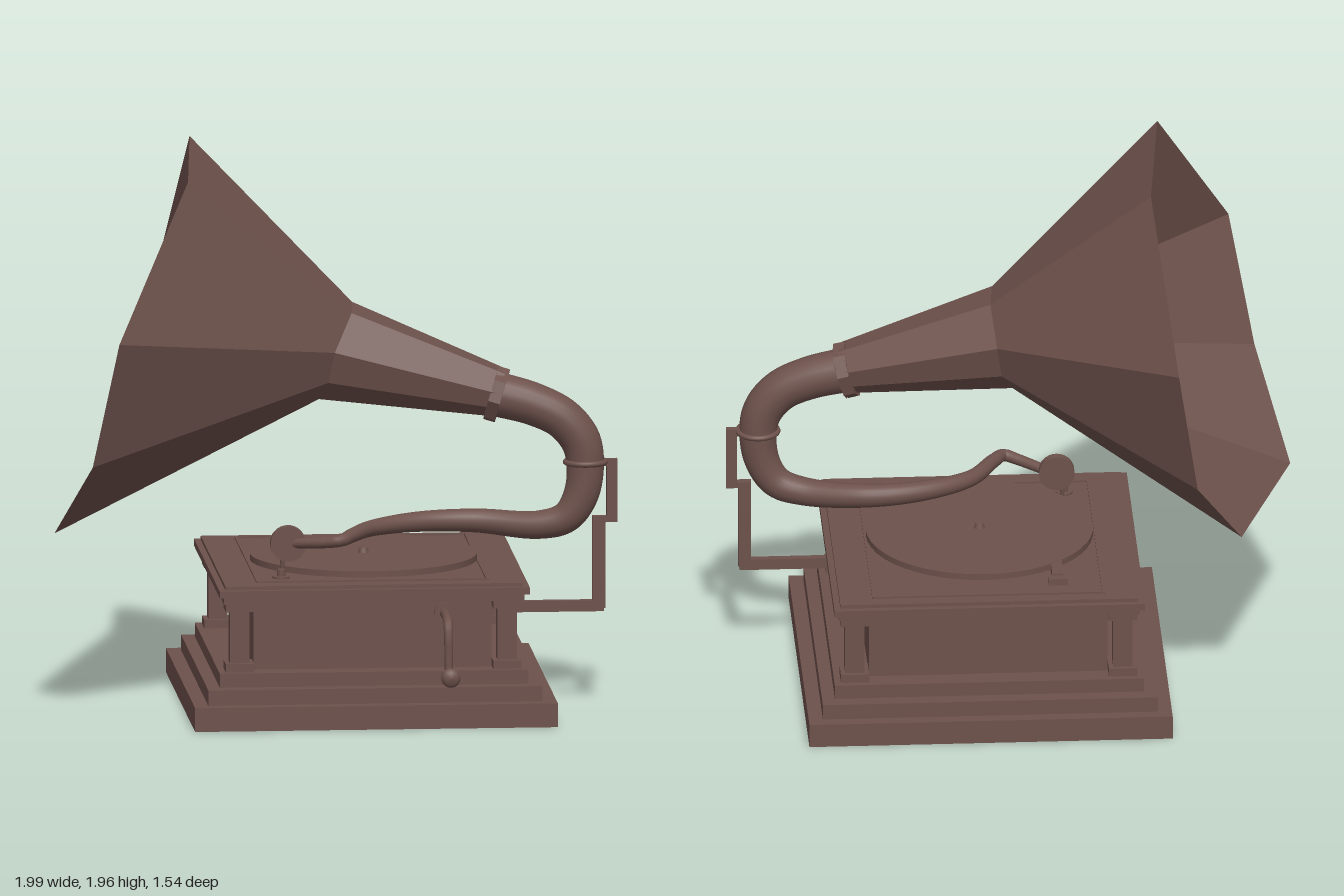
import * as THREE from 'three';

const V = (x, y, z) => new THREE.Vector3(x, y, z);
const wood = new THREE.MeshStandardMaterial({ color: 0x6d514b });
const sheet = new THREE.MeshStandardMaterial({ color: 0x6d514b, flatShading: true, side: THREE.DoubleSide });

// Centre of the cabinet
const CX = 0.105, CZ = -0.005;

export function createModel() {
  const model = new THREE.Group();

  const add = (name, geometry, x = 0, y = 0, z = 0, material = wood, parent = model) => {
    const mesh = new THREE.Mesh(geometry, material);
    mesh.name = name;
    mesh.position.set(x, y, z);
    parent.add(mesh);
    return mesh;
  };
  // Box centred on the cabinet, between two heights
  const slab = (name, halfX, halfZ, y0, y1, x = CX, z = CZ) =>
    add(name, new THREE.BoxGeometry(halfX * 2, y1 - y0, halfZ * 2), x, (y0 + y1) / 2, z);
  // Box between opposite corners
  const bar = (name, a, b) =>
    add(name, new THREE.BoxGeometry(b[0] - a[0], b[1] - a[1], b[2] - a[2]),
      (a[0] + b[0]) / 2, (a[1] + b[1]) / 2, (a[2] + b[2]) / 2);

  // Tube whose radius follows the control points: [x, y, z, radius]
  const taperedTube = (points, segments, sides) => {
    const curve = new THREE.CatmullRomCurve3(points.map(p => V(p[0], p[1], p[2])));
    const geometry = new THREE.TubeGeometry(curve, segments, 1, sides);
    const pos = geometry.attributes.position, v = V(0, 0, 0);
    for (let i = 0; i <= segments; i++) {
      const u = i / segments, centre = curve.getPointAt(u);
      const t = curve.getUtoTmapping(u) * (points.length - 1);
      const k = Math.min(Math.floor(t), points.length - 2);
      const r = THREE.MathUtils.lerp(points[k][3], points[k + 1][3], t - k);
      for (let j = 0; j <= sides; j++) {
        const n = i * (sides + 1) + j;
        v.fromBufferAttribute(pos, n).sub(centre).multiplyScalar(r).add(centre);
        pos.setXYZ(n, v.x, v.y, v.z);
      }
    }
    return geometry;
  };

  // Stepped base
  slab('baseStep', 0.64, 0.638, 0, 0.085);
  slab('baseStep', 0.59, 0.593, 0.085, 0.14);
  slab('baseStep', 0.545, 0.54, 0.14, 0.19);

  // Cabinet body and corner columns
  slab('cabinetBody', 0.42, 0.465, 0.19, 0.46);
  for (const sx of [-1, 1]) for (const sz of [-1, 1]) {
    const x = CX + sx * 0.472, z = CZ + sz * 0.467;
    slab('columnPlinth', 0.05, 0.05, 0.19, 0.22, x, z);
    slab('column', 0.034, 0.034, 0.22, 0.41, x, z);
    slab('columnCapital', 0.05, 0.05, 0.405, 0.44, x, z);
  }

  // Moulded lid with a raised frame
  slab('lidMoulding', 0.53, 0.535, 0.435, 0.462);
  slab('lidEdge', 0.547, 0.562, 0.462, 0.487);
  slab('lidTop', 0.525, 0.54, 0.487, 0.5);
  const frame = new THREE.Shape().moveTo(-0.41, -0.48).lineTo(0.41, -0.48).lineTo(0.41, 0.48).lineTo(-0.41, 0.48);
  frame.holes.push(new THREE.Path().moveTo(-0.4, -0.47).lineTo(-0.4, 0.47).lineTo(0.4, 0.47).lineTo(0.4, -0.47));
  add('lidFrame', new THREE.ExtrudeGeometry(frame, { depth: 0.006, bevelEnabled: false }), CX, 0.5, -0.015).rotation.x = -Math.PI / 2;

  // Turntable, spindle, brake and speed knob
  add('turntable', new THREE.CylinderGeometry(0.4, 0.4, 0.022, 48), 0.108, 0.519, 0.025);
  add('spindle', new THREE.CylinderGeometry(0.014, 0.02, 0.02, 16), 0.108, 0.538, 0.025);
  bar('brakeLever', [-0.165, 0.5, -0.39], [-0.125, 0.532, -0.27]);
  bar('brakePad', [-0.178, 0.5, -0.42], [-0.112, 0.525, -0.38]);
  add('speedDial', new THREE.CylinderGeometry(0.03, 0.03, 0.008, 20), -0.21, 0.504, 0.37);
  add('speedKnob', new THREE.CylinderGeometry(0.015, 0.015, 0.03, 16), -0.21, 0.517, 0.37);

  // Horn: eight-sided rim scaled down to the throat and the neck
  const rim = [
    V(-0.54, 1.92, 0.385), V(-0.475, 1.96, -0.35), V(-0.55, 1.45, -0.77), V(-0.62, 0.98, -0.69),
    V(-0.79, 0.675, -0.43), V(-1, 0.65, 0.245), V(-0.895, 0.945, 0.615), V(-0.81, 1.4, 0.725),
  ];
  const centre = rim.reduce((sum, p) => sum.add(p), V(0, 0, 0)).divideScalar(8);
  const rings = [[centre, 1], [V(0.015, 1.24, 0.045), 0.245], [V(0.575, 1.105, 0.127), 0.12]]
    .map(([c, s]) => rim.map(p => p.clone().sub(centre).multiplyScalar(s).add(c)));
  const hornPoints = [];
  for (let r = 0; r < 2; r++) for (let i = 0; i < 8; i++) {
    const j = (i + 1) % 8, a = rings[r][i], b = rings[r][j], c = rings[r + 1][j], d = rings[r + 1][i];
    hornPoints.push(a, d, b, b, d, c);
  }
  const hornGeometry = new THREE.BufferGeometry().setFromPoints(hornPoints);
  hornGeometry.computeVertexNormals();
  add('horn', hornGeometry, 0, 0, 0, sheet);

  // Collar where the horn meets the neck
  const collar = add('hornCollar', new THREE.CylinderGeometry(0.102, 0.102, 0.042, 8, 1, true), 0.57, 1.105, 0.127, sheet);
  const axis = V(0.93, -0.27, 0.13).normalize();
  collar.quaternion.setFromUnitVectors(V(0, 1, 0), axis);
  const lip = add('collarFace', new THREE.RingGeometry(0.06, 0.102, 8), 0, 0.021, 0, sheet, collar);
  lip.rotation.set(Math.PI / 2, 0, Math.PI / 8);
  const backLip = add('collarFace', new THREE.RingGeometry(0.06, 0.102, 8), 0, -0.021, 0, sheet, collar);
  backLip.rotation.copy(lip.rotation);

  // Curved neck that tapers into the tone arm
  add('toneArm', taperedTube([
    [0.56, 1.108, 0.125, 0.08], [0.7, 1.07, 0.142, 0.076], [0.8, 1.02, 0.153, 0.073],
    [0.862, 0.945, 0.157, 0.071], [0.88, 0.86, 0.157, 0.066], [0.866, 0.75, 0.157, 0.062],
    [0.815, 0.668, 0.15, 0.056], [0.72, 0.638, 0.13, 0.05], [0.5, 0.645, 0.065, 0.042],
    [0.3, 0.648, 0.09, 0.036], [0.13, 0.645, 0.19, 0.029], [0.04, 0.643, 0.34, 0.025],
    [0, 0.637, 0.4, 0.022], [-0.05, 0.627, 0.38, 0.02], [-0.16, 0.612, 0.3, 0.018],
  ], 110, 20));
  add('neckRing', new THREE.TorusGeometry(0.07, 0.01, 10, 32), 0.881, 0.865, 0.157).rotation.x = Math.PI / 2;

  // Sound box and needle
  const soundBox = new THREE.Group();
  soundBox.name = 'soundBox';
  soundBox.position.set(-0.18, 0.612, 0.3);
  model.add(soundBox);
  add('diaphragm', new THREE.CylinderGeometry(0.063, 0.063, 0.034, 28), 0, 0, 0, wood, soundBox).rotation.x = Math.PI / 2;
  add('diaphragmBoss', new THREE.CylinderGeometry(0.01, 0.01, 0.046, 12), 0, 0, 0, wood, soundBox).rotation.x = Math.PI / 2;
  add('needle', new THREE.CylinderGeometry(0.011, 0.006, 0.045, 10), -0.02, -0.068, 0, wood, soundBox);

  // Bracket holding the neck
  bar('bracketPlate', [0.5, 0.333, 0.145], [0.54, 0.374, 0.28]);
  bar('bracketFoot', [0.52, 0.333, 0.143], [0.945, 0.372, 0.17]);
  bar('bracketPost', [0.905, 0.345, 0.143], [0.95, 0.665, 0.17]);
  bar('bracketStep', [0.905, 0.65, 0.143], [0.993, 0.672, 0.17]);
  bar('bracketUpright', [0.955, 0.655, 0.143], [0.993, 0.875, 0.17]);
  bar('bracketTop', [0.94, 0.85, 0.143], [0.993, 0.875, 0.17]);

  // Winding crank
  const crank = new THREE.Group();
  crank.name = 'crank';
  crank.position.x = 0.358;
  model.add(crank);
  add('crankPlate', new THREE.CylinderGeometry(0.036, 0.036, 0.02, 24), 0, 0.385, 0.468, wood, crank).rotation.x = Math.PI / 2;
  add('crankArm', taperedTube([
    [0, 0.385, 0.45, 0.017], [0, 0.385, 0.59, 0.017], [0, 0.37, 0.632, 0.017], [0, 0.33, 0.648, 0.016],
    [0, 0.25, 0.654, 0.015], [0, 0.205, 0.66, 0.014], [0, 0.195, 0.68, 0.014],
  ], 32, 10), 0, 0, 0, wood, crank);
  const knob = [[0, 0], [0.014, 0], [0.016, 0.03], [0.034, 0.085], [0.034, 0.1], [0.022, 0.114], [0, 0.116]]
    .map(p => new THREE.Vector2(p[0], p[1]));
  add('crankHandle', new THREE.LatheGeometry(knob, 16), 0, 0.2, 0.655, wood, crank).rotation.x = Math.PI / 2;

  return model;
}
